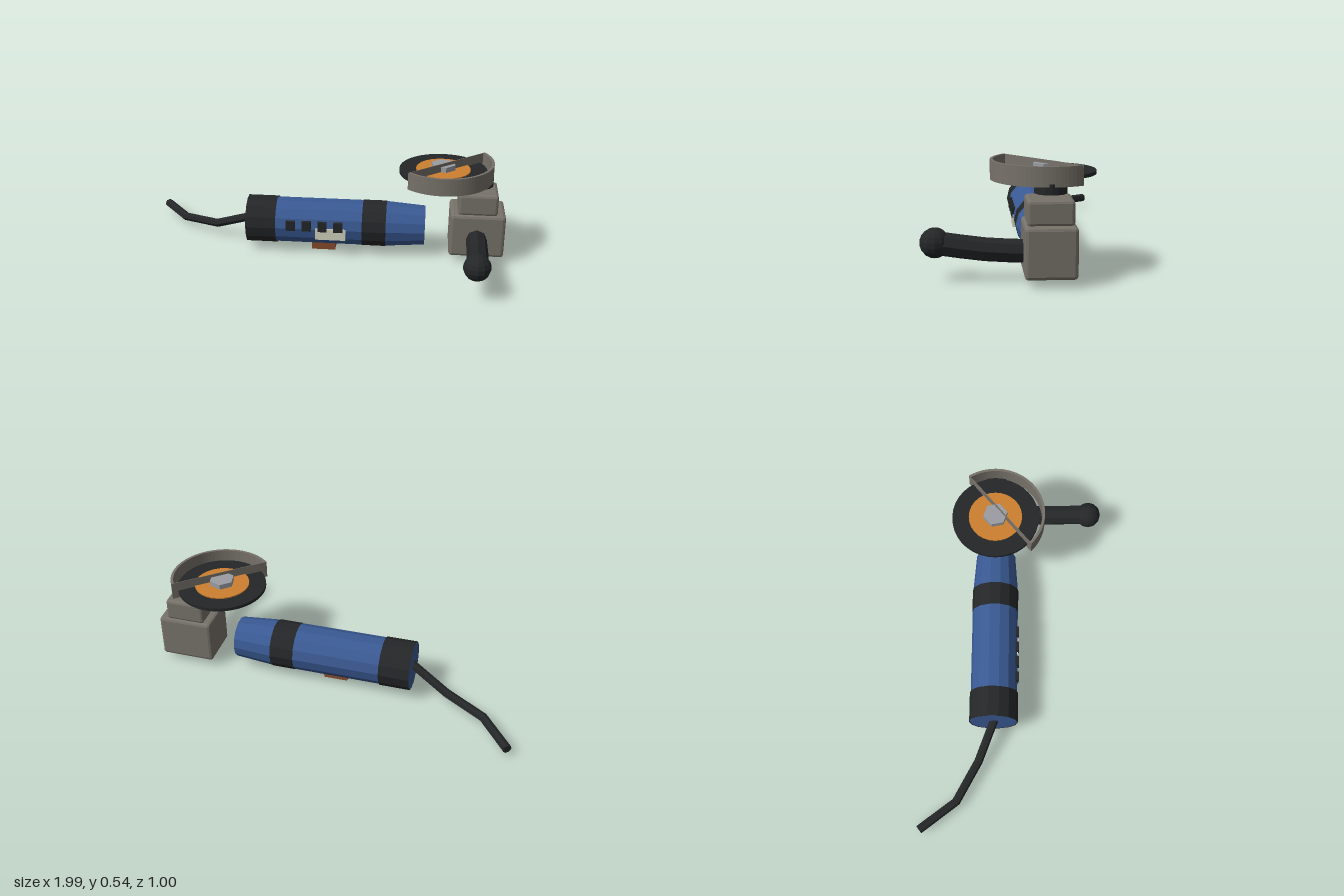
import * as THREE from 'three';
import { RoundedBoxGeometry } from 'three/addons/geometries/RoundedBoxGeometry.js';

const paint = (color) => new THREE.MeshStandardMaterial({ color, flatShading: true, side: THREE.DoubleSide });
const V = (x, y, z) => new THREE.Vector3(x, y, z);

export function createModel() {
  const group = new THREE.Group();
  const blue = paint(0x3a5a94), black = paint(0x242628), metal = paint(0x77726a);
  const orange = paint(0xcc7f30), steel = paint(0x9a9da2), cream = paint(0xd6d6c2), rust = paint(0x8a4b2c);

  const add = (name, geometry, material, x = 0, y = 0, z = 0) => {
    const mesh = new THREE.Mesh(geometry, material);
    mesh.name = name;
    mesh.position.set(x, y, z);
    group.add(mesh);
    return mesh;
  };
  const box = (name, material, x0, x1, y0, y1, z0, z1, bevel = 0) => {
    const size = [x1 - x0, y1 - y0, z1 - z0];
    const geometry = bevel ? new RoundedBoxGeometry(...size, 1, bevel) : new THREE.BoxGeometry(...size);
    return add(name, geometry, material, (x0 + x1) / 2, (y0 + y1) / 2, (z0 + z1) / 2);
  };
  const disc = (name, material, x, y0, y1, r, sides) =>
    add(name, new THREE.CylinderGeometry(r, r, y1 - y0, sides), material, x, (y0 + y1) / 2, AXIS_Z);

  // Motor housing lies along x with 14 sides
  const AXIS_Y = 0.157, AXIS_Z = -0.097;
  const barrel = (name, material, x0, x1, r0, r1, open = false) => {
    const geometry = new THREE.CylinderGeometry(r1, r0, x1 - x0, 14, 1, open).rotateZ(-Math.PI / 2);
    return add(name, geometry, material, (x0 + x1) / 2, AXIS_Y, AXIS_Z);
  };
  barrel('motorHousing', blue, -0.415, 0.355, 0.127, 0.127);
  barrel('housingNose', blue, 0.35, 0.567, 0.127, 0.11);
  barrel('rearBand', black, -0.416, -0.25, 0.132, 0.132, true);
  barrel('frontBand', black, 0.225, 0.355, 0.129, 0.129, true);

  // Vents, rating plate and trigger
  for (let i = 0; i < 4; i++) {
    const x = -0.165 + i * 0.087;
    box('vent', black, x - 0.025, x + 0.025, 0.148, 0.203, 0, 0.038);
  }
  box('plate', cream, -0.03, 0.137, 0.1, 0.165, 0, 0.034);
  box('trigger', rust, -0.055, 0.075, 0, 0.06, -0.13, -0.055);

  // Power cable
  const cable = new THREE.CatmullRomCurve3([
    V(-0.4, 0.168, -0.092), V(-0.63, 0.072, -0.185), V(-0.85, 0.055, -0.31), V(-0.98, 0.05, -0.488),
  ]);
  add('cable', new THREE.TubeGeometry(cable, 3, 0.024, 7), black);
  const cableEnd = add('cableEnd', new THREE.CircleGeometry(0.024, 7), black, -0.98, 0.05, -0.488);
  cableEnd.lookAt(V(-0.98, 0.05, -0.488).add(cable.getTangent(1)));

  // Gear head
  box('gearCase', metal, 0.7, 0.995, 0.037, 0.278, -0.212, 0.03, 0.016);
  box('gearNeck', metal, 0.74, 0.95, 0.274, 0.392, -0.2, 0.017, 0.014);
  disc('spindle', black, 0.847, 0.412, 0.463, 0.077, 16);

  // Side handle with ball end
  const handle = new THREE.CatmullRomCurve3([
    V(0.845, 0.14, -0.02), V(0.843, 0.15, 0.19), V(0.832, 0.18, 0.42),
  ]);
  add('sideHandle', new THREE.TubeGeometry(handle, 4, 0.056, 8), black);
  add('handleKnob', new THREE.SphereGeometry(0.071, 12, 9), black, 0.83, 0.182, 0.433);

  // Grinding disc, flange and nut
  const DISC_X = 0.652;
  disc('grindingDisc', black, DISC_X, 0.474, 0.491, 0.236, 36);
  disc('discFlange', orange, DISC_X, 0.48, 0.497, 0.146, 28);
  disc('lockNut', steel, DISC_X, 0.49, 0.525, 0.067, 6).rotation.y = 0.2;

  // Guard: arc wall with a thin wall along its chord
  const a0 = -0.575, a1 = 2.325, outer = 0.27, inner = 0.256, top = 0.542, height = 0.094;
  const arc = new THREE.Shape();
  arc.absarc(0, 0, outer, a0, a1, false);
  arc.absarc(0, 0, inner, a1, a0, true);
  const wall = new THREE.ExtrudeGeometry(arc, { depth: height, bevelEnabled: false, curveSegments: 20 });
  add('guardWall', wall.rotateX(Math.PI / 2), metal, DISC_X, top, AXIS_Z);
  const p = V(Math.cos(a0), 0, Math.sin(a0)).multiplyScalar(outer);
  const q = V(Math.cos(a1), 0, Math.sin(a1)).multiplyScalar(outer);
  const mid = p.clone().add(q).multiplyScalar(0.5);
  const chord = add('guardChord', new THREE.BoxGeometry(p.distanceTo(q), height, 0.003), metal,
    DISC_X + mid.x, top - height / 2, AXIS_Z + mid.z);
  chord.rotation.y = Math.atan2(q.z - p.z, p.x - q.x);

  return group;
}
